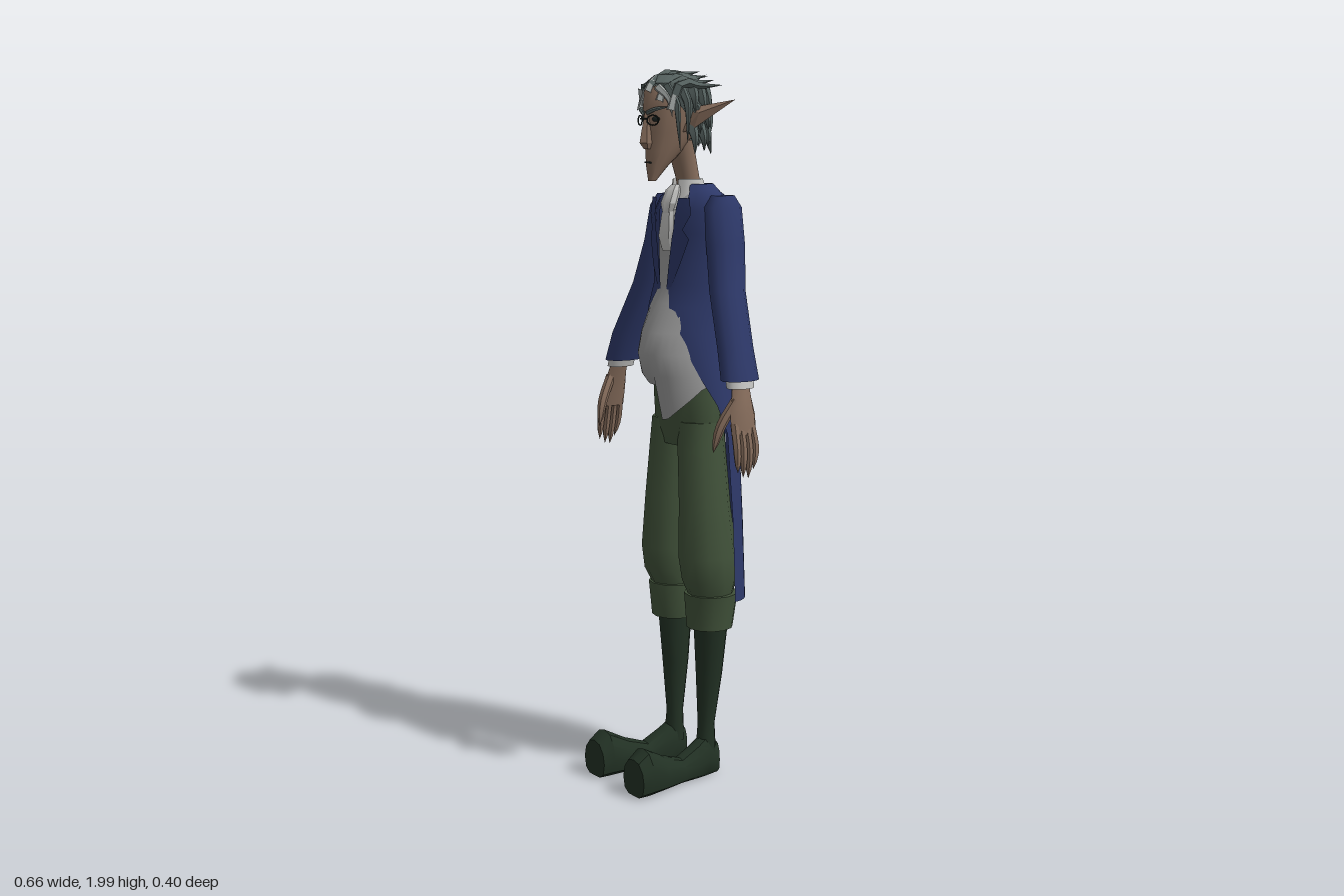
import * as THREE from 'three';
import { toCreasedNormals } from 'three/addons/utils/BufferGeometryUtils.js';
import { ConvexGeometry } from 'three/addons/geometries/ConvexGeometry.js';

const V = (x, y, z) => new THREE.Vector3(x, y, z);

function material(name, color, side = THREE.FrontSide) {
  const m = new THREE.MeshStandardMaterial({ color, side });
  m.name = name;
  return m;
}

// Surface through a stack of point rows; closed rows may be capped
function loft(rows, closed = true, caps = closed, crease = 0.9) {
  const n = rows[0].length, pos = [], idx = [];
  rows.forEach(r => r.forEach(p => pos.push(p.x, p.y, p.z)));
  const last = closed ? n : n - 1;
  for (let i = 0; i < rows.length - 1; i++) for (let j = 0; j < last; j++) {
    const a = i * n + j, b = i * n + (j + 1) % n;
    idx.push(a, b, b + n, a, b + n, a + n);
  }
  if (caps) [0, rows.length - 1].forEach(i => {
    const c = rows[i].reduce((s, p) => s.add(p), V(0, 0, 0)).divideScalar(n);
    const k = pos.length / 3;
    pos.push(c.x, c.y, c.z);
    for (let j = 0; j < n; j++) {
      const a = i * n + j, b = i * n + (j + 1) % n;
      if (i) idx.push(k, a, b); else idx.push(k, b, a);
    }
  });
  const g = new THREE.BufferGeometry();
  g.setAttribute('position', new THREE.Float32BufferAttribute(pos, 3));
  g.setIndex(idx);
  return toCreasedNormals(g, crease);
}

// Horizontal arc measured from the front; rows are [y, cx, cz, rx, rz]
function arc([y, cx, cz, rx, rz], a0, a1, n) {
  return Array.from({ length: n + 1 }, (_, i) => {
    const a = a0 + (a1 - a0) * i / n;
    return V(cx + rx * Math.sin(a), y, cz + rz * Math.cos(a));
  });
}
const ovals = (rows, n = 12, crease) =>
  loft(rows.map(r => arc(r, 0, Math.PI * 2, n).slice(0, n)), true, true, crease);

// Curved strand narrowing to its end
function strand(points, radius, power = 1.5, sides = 5, crease = 0.2) {
  const curve = new THREE.CatmullRomCurve3(points), seg = 6;
  const g = new THREE.TubeGeometry(curve, seg, radius, sides), p = g.attributes.position;
  for (let i = 0; i < p.count; i++) {
    const t = Math.floor(i / (sides + 1)) / seg, c = curve.getPointAt(t);
    const v = V(0, 0, 0).fromBufferAttribute(p, i).sub(c).multiplyScalar(1 - t ** power).add(c);
    p.setXYZ(i, v.x, v.y, v.z);
  }
  return toCreasedNormals(g, crease);
}

// Copy reflected across x = 0 with the corner order restored
function mirrored(geo) {
  const g = geo.index ? geo.toNonIndexed() : geo.clone();
  g.scale(-1, 1, 1);
  g.setIndex(Array.from({ length: g.attributes.position.count }, (_, i) => i % 3 === 0 ? i : i % 3 === 1 ? i + 1 : i - 1));
  return g;
}

export function createModel() {
  const model = new THREE.Group();
  const coatMat = material('navy coat', 0x2d3868, THREE.DoubleSide);
  const greenMat = material('breeches green', 0x41523a);
  const bootMat = material('dark boot green', 0x223124);
  const skinMat = material('skin', 0x856c5b);
  const vestMat = material('grey waistcoat', 0x999999, THREE.DoubleSide);
  const whiteMat = material('white linen', 0xc2c2c0, THREE.DoubleSide);
  const hairMat = material('grey hair', 0x566260, THREE.DoubleSide);
  const paleMat = material('pale hair', 0xa3a8a6);
  const darkMat = material('dark features', 0x1c2422);

  const add = (name, geo, mat) => {
    const m = new THREE.Mesh(geo, mat);
    m.name = name;
    model.add(m);
  };
  const both = (name, geo, mat) => {
    add(name + 'Left', geo, mat);
    add(name + 'Right', mirrored(geo), mat);
  };

  // Shoes with tall bulbous toes: [z, centre x, half width, height]
  const shoe = [[-.105, .078, .02, .09], [-.06, .078, .034, .12], [-.03, .08, .036, .1], [.03, .083, .034, .07],
    [.1, .09, .046, .095], [.165, .096, .055, .13], [.199, .097, .05, .105]];
  both('shoe', loft(shoe.map(([z, cx, w, h]) => Array.from({ length: 12 }, (_, i) => {
    const b = i * Math.PI / 6;
    return V(cx + w * Math.cos(b), h * THREE.MathUtils.clamp(.42 + .6 * Math.sin(b), 0, 1), z);
  })), true, true, .6), bootMat);

  // Stockings, turned cuffs and baggy breeches
  both('stocking', ovals([[.06, .076, -.07, .03, .03], [.15, .075, -.072, .025, .024], [.3, .08, -.078, .038, .038],
    [.46, .085, -.08, .05, .05]]), bootMat);
  both('breechesCuff', ovals([[.44, .083, -.077, .066, .066], [.54, .085, -.08, .076, .077]]), greenMat);
  both('breechesLeg', ovals([[.52, .085, -.08, .055, .06], [.58, .09, -.07, .072, .08], [.65, .088, -.065, .073, .087],
    [.8, .08, -.06, .067, .075], [.95, .066, -.06, .063, .07], [1.03, .06, -.06, .06, .066]]), greenMat);
  add('breechesSeat', ovals([[.96, 0, -.06, .11, .06], [1.02, 0, -.06, .12, .07], [1.1, 0, -.06, .117, .08],
    [1.18, 0, -.06, .112, .085]], 16), greenMat);

  // Waistcoat with a round belly and an uneven lower edge
  const vestRows = [[1.13, 0, -.055, .116, .1], [1.16, 0, -.06, .115, .134], [1.22, 0, -.055, .107, .148],
    [1.28, 0, -.05, .1, .13], [1.36, 0, -.05, .1, .09], [1.42, 0, -.055, .1, .069], [1.5, 0, -.065, .105, .073],
    [1.6, 0, -.07, .095, .07], [1.66, 0, -.07, .05, .05]].map(r => arc(r, -1.45, 1.45, 16));
  vestRows[0].forEach((p, i) => {
    const a = -1.45 + 2.9 * i / 16;
    if (a > 0) p.y -= .1 * Math.max(0, 1 - Math.abs(a - .25) / 1.1);
  });
  add('waistcoat', loft(vestRows, false), vestMat);

  // Tailcoat half: each row ends with its opening angle; the tail is split behind
  const coatRows = [[.53, 0, -.09, .185, .105, 1.55], [.75, 0, -.09, .167, .107, 1.6], [1.0, 0, -.085, .146, .11, 1.6],
    [1.08, 0, -.08, .135, .108, 1.4], [1.15, 0, -.07, .127, .11, 1.12], [1.2, 0, -.06, .121, .11, .98],
    [1.28, 0, -.05, .113, .11, .78], [1.35, 0, -.055, .112, .1, .4], [1.41, 0, -.063, .115, .085, .17],
    [1.55, 0, -.073, .134, .087, .28], [1.61, 0, -.078, .135, .082, .38], [1.645, 0, -.08, .125, .07, .5],
    [1.67, 0, -.08, .075, .05, .6]];
  both('coat', loft(coatRows.map(r => arc(r, r[5], Math.PI - Math.max(0, 1 - r[0]) * .14, 12)), false), coatMat);

  // Rolled collar and lapels lying on the chest: [y, inner x, outer x]
  add('coatCollar', loft([[1.625, 0, -.078, .105, .082], [1.66, 0, -.08, .088, .064], [1.682, 0, -.08, .062, .048]]
    .map(r => arc(r, .6, Math.PI * 2 - .6, 18)), false), coatMat);
  both('lapel', loft([[1.39, .012, .025], [1.46, .022, .06], [1.535, .034, .088], [1.56, .04, .07], [1.6, .045, .092],
    [1.645, .05, .085]].map(([y, a, b]) => [a, (a + b) / 2, b].map(x =>
    V(x, y, -.073 + (y > 1.6 ? .084 : .092) * Math.sqrt(1 - (x / .137) ** 2) + .005))), false), coatMat);

  // Sleeves, shirt cuffs and hands
  both('sleeve', ovals([[1.17, .271, -.03, .04, .057], [1.25, .246, -.034, .042, .052], [1.4, .177, -.06, .044, .052],
    [1.52, .143, -.08, .045, .057], [1.62, .122, -.085, .046, .056], [1.652, .123, -.085, .026, .035]]), coatMat);
  both('shirtCuff', ovals([[1.15, .279, -.025, .029, .041], [1.19, .268, -.028, .03, .042]]), whiteMat);
  both('palm', ovals([[1.03, .309, -.014, .012, .041], [1.08, .302, -.015, .017, .042], [1.13, .289, -.02, .018, .032],
    [1.18, .275, -.025, .018, .026]], 8), skinMat);
  [-.044, -.024, -.004, .017].forEach((z, i) => both('finger' + (i + 1), strand([V(.305, 1.06, z * .9),
    V(.32, .99, z), V(.325, [.935, .912, .916, .93][i], z * .85 + .004)], .0115, 6, 6, 1), skinMat));
  both('thumb', strand([V(.292, 1.12, .0), V(.277, 1.05, .04), V(.268, .98, .058)], .014, 5, 6, 1), skinMat);

  // Neck, shirt collar and layered cravat
  add('neck', ovals([[1.62, 0, -.08, .036, .036], [1.7, 0, -.058, .032, .033], [1.8, 0, -.03, .038, .038]], 10), skinMat);
  add('shirtCollar', loft([[1.63, 0, -.068, .055, .058], [1.695, 0, -.06, .041, .042]]
    .map(r => arc(r, .25, Math.PI * 2 - .25, 14)), false), whiteMat);
  add('cravatTail', ovals([[1.5, 0, .01, .024, .006], [1.54, 0, .015, .033, .012], [1.6, 0, .007, .025, .014],
    [1.64, 0, -.005, .017, .014]], 8, .5), whiteMat);
  add('cravatKnot', ovals([[1.6, 0, .008, .018, .012], [1.63, 0, .004, .03, .019], [1.665, 0, -.01, .026, .018],
    [1.68, 0, -.02, .014, .012]], 8, .5), whiteMat);

  // Head with a long pointed chin and sharp nose
  add('head', ovals([[1.69, 0, .062, .011, .01], [1.73, 0, .045, .027, .031], [1.77, 0, .022, .043, .054],
    [1.82, 0, .002, .056, .074], [1.88, 0, -.008, .067, .088], [1.93, 0, -.014, .064, .09], [1.968, 0, -.015, .04, .06]],
  14), skinMat);
  add('nose', ovals([[1.776, 0, .075, .01, .014], [1.792, 0, .073, .016, .03], [1.83, 0, .075, .011, .02],
    [1.875, 0, .074, .008, .011]], 6, .4), skinMat);
  both('ear', new ConvexGeometry([V(.056, 1.885, -.02), V(.056, 1.82, .0), V(.06, 1.85, -.04), V(.085, 1.83, -.015),
    V(.1, 1.872, -.022), V(.166, 1.906, -.092)]), skinMat);
  const mouth = new THREE.BoxGeometry(.026, .004, .006);
  mouth.translate(0, 1.74, .0745);
  add('mouth', mouth, darkMat);

  // Eyes, brows and spectacles
  const eye = new THREE.SphereGeometry(1, 10, 6);
  eye.scale(.013, .007, .004).rotateY(.35).translate(.029, 1.855, .07);
  both('eye', eye, darkMat);
  both('brow', strand([V(.008, 1.871, .084), V(.032, 1.88, .076), V(.058, 1.888, .045)], .006, 3), hairMat);
  const rim = new THREE.TorusGeometry(.019, .0022, 5, 16);
  rim.scale(1, .7, 1).rotateY(.35).translate(.029, 1.852, .08);
  both('spectacleRim', rim, darkMat);
  const bridge = new THREE.BoxGeometry(.024, .004, .004);
  bridge.translate(0, 1.856, .09);
  add('spectacleBridge', bridge, darkMat);

  // Hair cap, open over the face
  add('hairCap', loft([[1.79, 0, -.035, .056, .066, 2.0], [1.85, 0, -.025, .073, .086, 1.5], [1.91, 0, -.015, .079, .094, 1.0],
    [1.95, 0, -.012, .07, .086, .35], [1.972, 0, -.015, .048, .06, .1], [1.982, 0, -.02, .008, .01, 0]]
    .map(r => arc(r, r[5], Math.PI * 2 - r[5], 18)), false, false, .1), hairMat);

  // Locks swept back over the crown, paler at the hairline
  for (let i = -4; i <= 4; i++) {
    const x = i * .017, s = Math.abs(i), k = (i + 4) % 3;
    add('crownLock' + (i + 5), strand([V(x, 1.94 - s * .006, .066 - s * .008), V(x * 1.1, 1.974 - s * .006, .02),
      V(x * 1.15, 1.975 - s * .008, -.04), V(x * 1.25, 1.99 - s * .008 - k * .006, -.09 - k * .012)], .016), hairMat);
    if (s % 2 === 0) add('frontStreak' + (i + 5), strand([V(x, 1.925 - s * .012, .076 - s * .007),
      V(x * 1.05, 1.96 - s * .006, .055 - s * .006), V(x * 1.1, 1.982 - s * .006, 0)], .013), paleMat);
  }

  // Ragged locks around the sides and nape in three tiers
  [[1.94, .075, .095], [1.89, .08, .085], [1.84, .075, .08]].forEach(([y, rx, len], t) => {
    for (let i = 0; i < 9; i++) {
      const a = Math.PI * (.5 + (i + (t % 2) * .4) / 8.4), s = Math.sin(a), c = Math.cos(a);
      const drop = len * (.75 + .25 * ((i * 2 + t) % 3) / 2);
      add(`napeLock${t + 1}_${i + 1}`, strand([V(rx * s * .9, y, -.02 + .08 * c), V(rx * s * 1.1, y - drop * .45, -.02 + .09 * c),
        V(rx * s * 1.12, y - drop, -.02 + (.09 + .012 * (i % 2)) * c)], .016), hairMat);
    }
  });

  // Side locks hanging in front of the ears
  both('temple', strand([V(.05, 1.945, .05), V(.073, 1.9, .035), V(.076, 1.84, .03), V(.074, 1.77, .022)], .012), hairMat);
  both('sideLock', strand([V(.06, 1.95, .02), V(.087, 1.9, .01), V(.084, 1.79, .005)], .013), hairMat);
  both('templeStreak', strand([V(.035, 1.94, .07), V(.06, 1.91, .052), V(.068, 1.86, .044)], .011), paleMat);
  return model;
}
